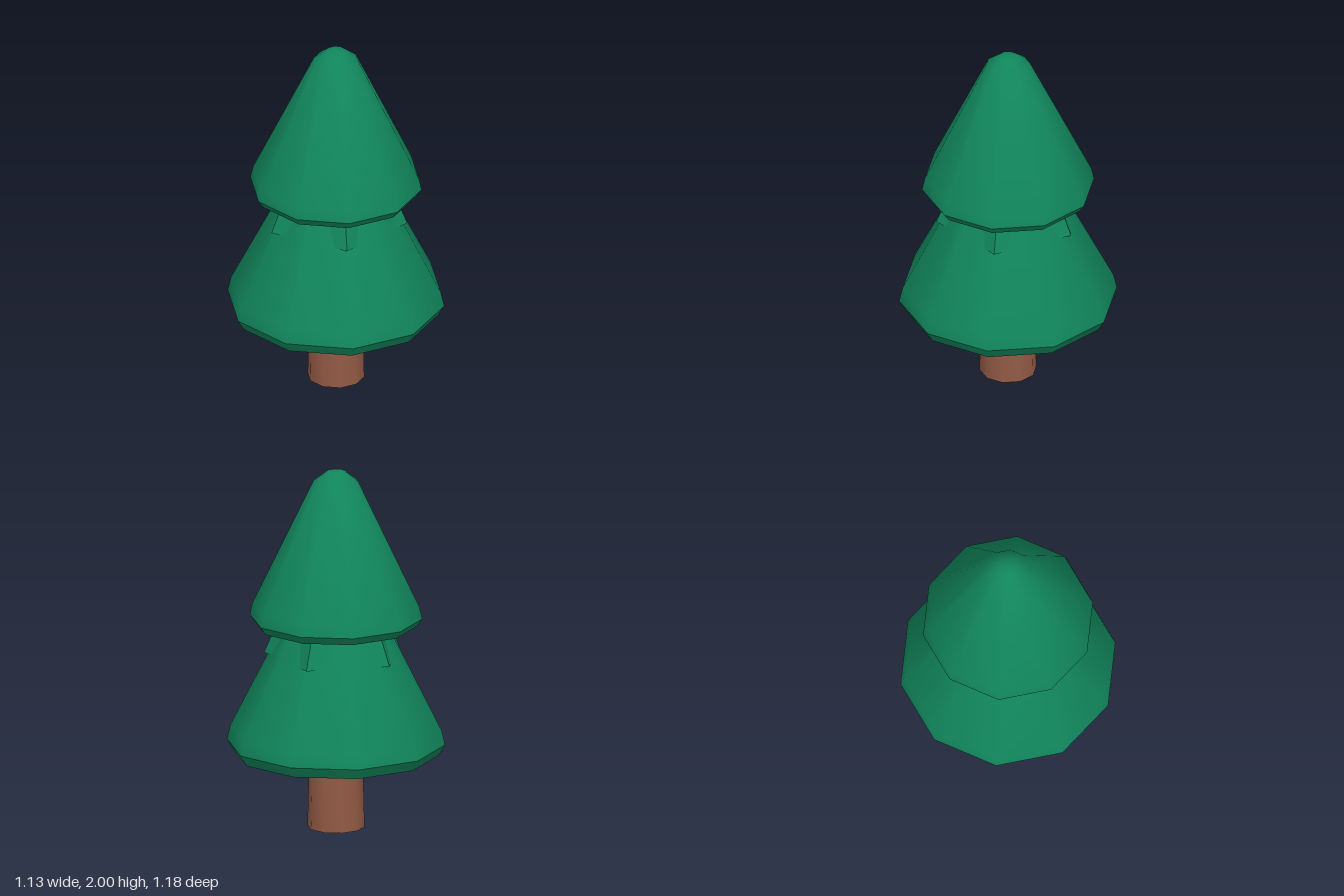
import * as THREE from 'three';
import { toCreasedNormals } from 'three/addons/utils/BufferGeometryUtils.js';

const foliage = new THREE.MeshStandardMaterial({ color: 0x11865c });
foliage.name = 'foliageGreen';
const bark = new THREE.MeshStandardMaterial({ color: 0x935a45 });
bark.name = 'barkBrown';

// Turns a bottom-to-top [radius, height] profile into a faceted solid
function turned(name, profile, sides, material, crease, start = 0) {
  const points = profile.map(([r, y]) => new THREE.Vector2(r, y));
  const lathe = new THREE.LatheGeometry(points, sides, start);
  const mesh = new THREE.Mesh(toCreasedNormals(lathe, crease), material);
  mesh.name = name;
  return mesh;
}

export function createModel() {
  const tree = new THREE.Group();
  tree.name = 'pineTree';
  const soft = THREE.MathUtils.degToRad(40);

  // Slightly tapered trunk
  tree.add(turned('trunk', [
    [0, 0], [0.1, 0], [0.155, 0.01], [0.145, 0.45], [0, 0.45],
  ], 10, bark, soft));

  // Wide lower tier with a bevelled rim
  tree.add(turned('lowerTier', [
    [0, 0.4], [0.15, 0.4], [0.557, 0.42], [0.592, 0.48], [0.573, 0.56],
    [0.2, 1.3], [0, 1.34],
  ], 10, foliage, soft));

  // Five-sided inner cone whose corners poke out between the tiers
  tree.add(turned('innerCone', [
    [0, 0.97], [0.39, 0.97], [0.26, 1.28], [0, 1.28],
  ], 5, foliage, 0.3, Math.PI / 5));

  // Upper tier with a rounded tip
  tree.add(turned('upperTier', [
    [0, 1.125], [0.15, 1.125], [0.438, 1.137], [0.468, 1.18], [0.453, 1.245],
    [0.12, 1.94], [0.05, 1.993], [0, 2],
  ], 10, foliage, soft));

  return tree;
}
